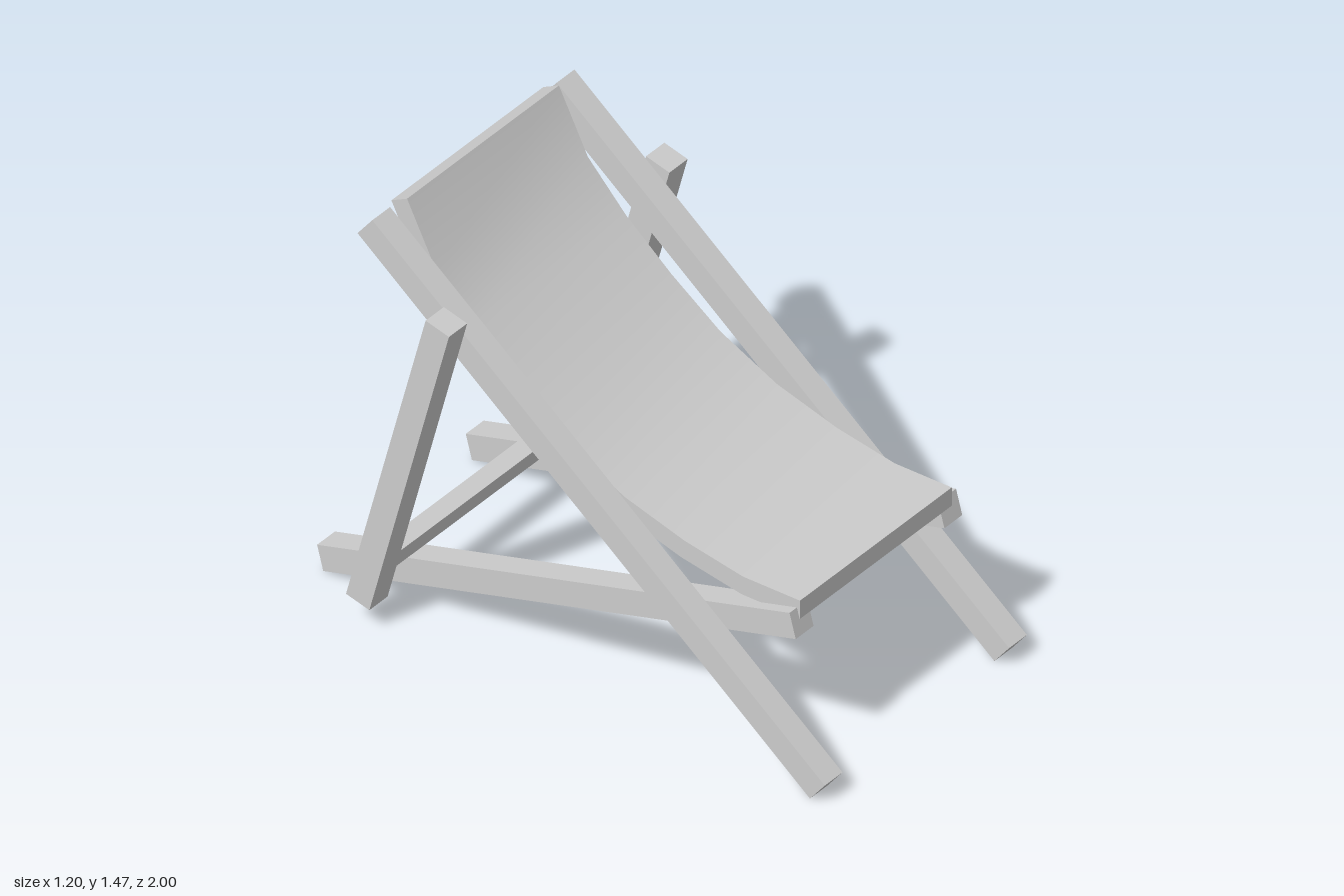
import * as THREE from 'three';
import { toCreasedNormals } from 'three/addons/utils/BufferGeometryUtils.js';

const material = new THREE.MeshStandardMaterial({ color: 0xcccccc });

// Square timber running between two [z, y] points in the side plane
function beam(name, x, [z0, y0], [z1, y1], size = 0.09) {
  const length = Math.hypot(z1 - z0, y1 - y0);
  const mesh = new THREE.Mesh(new THREE.BoxGeometry(size, length, size), material);
  mesh.name = name;
  mesh.position.set(x, (y0 + y1) / 2, (z0 + z1) / 2);
  mesh.rotation.x = Math.atan2(z1 - z0, y1 - y0);
  return mesh;
}

// Sagging sling: underside curve thickened along its normals, extruded across
function sling() {
  const thickness = 0.067, width = 0.766;
  const under = [
    [0.81, 0.536], [0.587, 0.536], [0.356, 0.578], [0.12, 0.648], [-0.105, 0.758],
    [-0.298, 0.897], [-0.474, 1.045], [-0.63, 1.212], [-0.745, 1.437],
  ].map(([z, y]) => new THREE.Vector2(z, y));
  const upper = under.map((p, i) => {
    const a = under[Math.max(i - 1, 0)], b = under[Math.min(i + 1, under.length - 1)];
    const t = b.clone().sub(a).normalize();
    return new THREE.Vector2(p.x + t.y * thickness, p.y - t.x * thickness);
  });
  const shape = new THREE.Shape([...under, ...upper.reverse()]);
  const geometry = new THREE.ExtrudeGeometry(shape, { depth: width, bevelEnabled: false });
  geometry.rotateY(-Math.PI / 2).translate(width / 2, 0, 0);
  const mesh = new THREE.Mesh(toCreasedNormals(geometry, 0.7), material);
  mesh.name = 'sling';
  return mesh;
}

export function createModel() {
  const group = new THREE.Group();
  group.name = 'deckChair';

  const strutTop = [-0.405, 1.223], strutBottom = [-0.708, 0.095];

  // Mirrored side timbers
  for (const [side, s] of [['left', 1], ['right', -1]]) {
    group.add(
      beam(side + 'BackRail', s * 0.465, [0.972, 0.035], [-0.75, 1.407]),
      beam(side + 'SeatRail', s * 0.375, [0.81, 0.53], [-0.988, 0.0435]),
      beam(side + 'Strut', s * 0.556, strutBottom, strutTop, 0.092),
    );
  }

  // Crossbar between the struts, tilted with them
  const bar = new THREE.Mesh(new THREE.BoxGeometry(1.04, 0.067, 0.06), material);
  bar.name = 'crossbar';
  bar.position.set(0, 0.225, -0.672);
  bar.rotation.x = Math.atan2(strutTop[0] - strutBottom[0], strutTop[1] - strutBottom[1]);
  group.add(bar, sling());

  return group;
}
